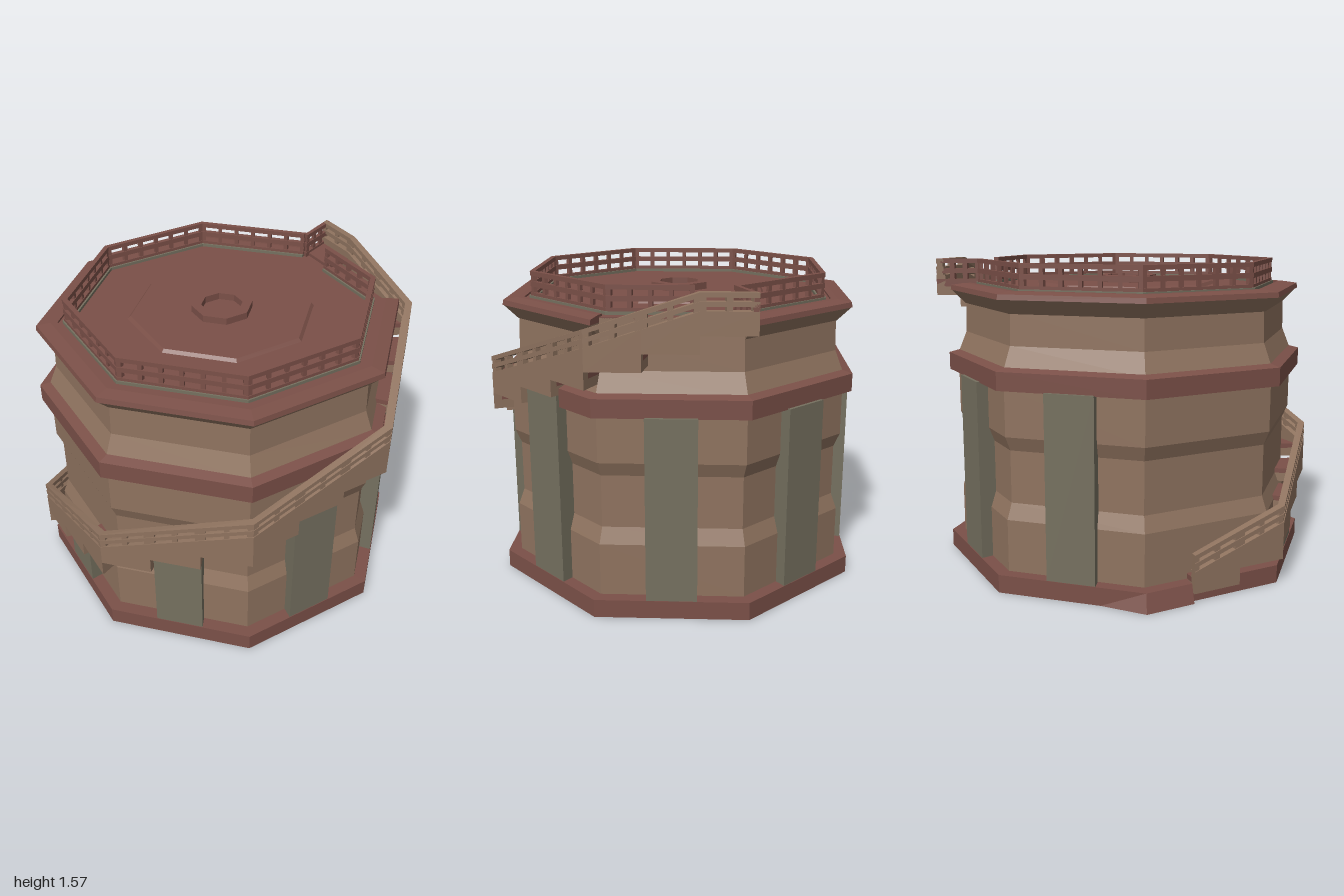
import * as THREE from 'three';
import { mergeGeometries } from 'three/addons/utils/BufferGeometryUtils.js';

const mat = (color) => new THREE.MeshStandardMaterial({ color, flatShading: true, side: THREE.DoubleSide });
const RED = mat(0x7b5048), TAN = mat(0x8f735f), GREY = mat(0x75705f);
const SIDES = 8, STEPS = 18, STEP_RISE = 1 / 12;

// Point on an octagon of corner radius r; s counts faces, starting at -x and running past the front
function ringPoint(r, y, s) {
  const i = Math.floor(s), f = s - i;
  const corner = (k) => {
    const a = (k - 2) * Math.PI * 2 / SIDES;
    return new THREE.Vector3(Math.sin(a) * r, y, Math.cos(a) * r);
  };
  // whole numbers sit exactly on a corner
  return f < 1e-6 ? corner(i) : corner(i).lerp(corner(i + 1), f);
}

// Solid lofted along one octagon face between two (radius, height) outlines
function loft(outlineA, s0, outlineB, s1) {
  const A = outlineA.map(([r, y]) => ringPoint(r, y, s0));
  const B = outlineB.map(([r, y]) => ringPoint(r, y, s1));
  const pts = [], n = A.length;
  for (let i = 0; i < n; i++) {
    const j = (i + 1) % n;
    pts.push(A[i], B[i], B[j], A[i], B[j], A[j]);
    if (i > 0 && i < n - 1) pts.push(A[0], A[i], A[j], B[0], B[j], B[i]);
  }
  const g = new THREE.BufferGeometry().setFromPoints(pts);
  g.computeVertexNormals();
  return g;
}

const rect = (r0, r1, y0, y1) => [[r0, y0], [r1, y0], [r1, y1], [r0, y1]];
const block = (r0, r1, s0, s1, y0, y1) => loft(rect(r0, r1, y0, y1), s0, rect(r0, r1, y0, y1), s1);

// Beam whose bottom and top follow functions of s
const beam = (r0, r1, s0, s1, lo, hi) =>
  loft(rect(r0, r1, lo(s0), hi(s0)), s0, rect(r0, r1, lo(s1), hi(s1)), s1);

// Open railing: horizontal bars and posts hung below a top line
function railing(r0, r1, s0, s1, top, bars, height, bays) {
  const out = bars.map(([lo, hi]) => beam(r0, r1, s0, s1, (s) => top(s) - lo, (s) => top(s) - hi));
  const w = 0.035, inset = 0.004;
  for (let i = 0; i <= bays; i++) {
    const a = s0 + (s1 - s0 - w) * i / bays;
    out.push(beam(r0 + inset, r1 - inset, a, a + w, (s) => top(s) - height, (s) => top(s) - 0.005));
  }
  return out;
}

export function createModel() {
  const model = new THREE.Group();
  const add = (name, geometry, material) => {
    const mesh = new THREE.Mesh(geometry, material);
    mesh.name = name;
    model.add(mesh);
  };
  const lathe = (name, profile, material) =>
    add(name, new THREE.LatheGeometry(profile.map(([r, y]) => new THREE.Vector2(r, y)), SIDES), material);
  const addAll = (name, list, material) => add(name, mergeGeometries(list), material);

  // Octagonal body
  lathe('base', [[0, 0], [0.968, 0], [0.968, 0.09], [0.88, 0.09]], RED);
  lathe('lowerWall', [[0.9, 0.09], [0.9, 0.35], [0.87, 0.43], [0.87, 0.69], [0.9, 0.76], [0.9, 1]], TAN);
  lathe('middleBand', [[0.87, 0.99], [0.948, 0.99], [0.948, 1.08], [0.89, 1.095]], RED);
  lathe('upperWall', [[0.9, 1.08], [0.855, 1.19], [0.85, 1.35], [0.85, 1.43]], TAN);

  // Roof with raised middle and a small ring
  lathe('roof', [[0.85, 1.425], [0.85, 1.435], [0.475, 1.435], [0.46, 1.45], [0, 1.45]], RED);
  lathe('roofRing', [[0.155, 1.44], [0.155, 1.485], [0.105, 1.485], [0.105, 1.45]], RED);

  // Cornice, left open on the face where the stair arrives
  const slope = [], cornice = [];
  for (let f = 0; f < SIDES; f++) {
    if (f === 5) continue;
    const under = [[0.82, 1.34], [0.855, 1.34], [0.925, 1.41], [0.82, 1.41]];
    const edge = [[0.82, 1.41], [0.93, 1.41], [0.925, 1.435], [0.855, 1.445], [0.82, 1.445]];
    slope.push(loft(under, f, under, f + 1));
    cornice.push(loft(edge, f, edge, f + 1));
  }
  addAll('corniceUnderside', slope, TAN);
  addAll('cornice', cornice, RED);

  // Buttress panels: under the stair where it passes, otherwise up to the band
  const underside = (k) => Math.max(0, -0.035 + STEP_RISE * k);
  const panels = [];
  for (let f = 0; f < SIDES; f++) {
    const top = f < 5 ? underside(f * 3 + 1) : 0.995;
    if (top > 0.1) panels.push(block(0.82, 0.965, f + 0.335, f + 0.665, 0.09, top));
  }
  addAll('buttressPanels', panels, GREY);

  // Stair winding over six faces: treads, side skirt and railing
  const railTop = (s) => Math.min(1.57, 0.155 + 0.25 * s);
  const treads = [], skirts = [], rails = [];
  const stairBars = [[0.022, 0], [0.062, 0.04]];
  for (let k = 0; k < STEPS; k++) {
    const s0 = k / 3, s1 = (k + 1) / 3, y = underside(k);
    if (k === 0) {
      const foot = [[0.8, 0], [1, 0], [0.968, 0.09], [0.8, 0.09]];
      treads.push(loft(foot, s0, foot, s1));
      treads.push(loft(rect(0.8, 0.968, 0, 0.09), -0.3, foot, 0));
      continue;
    }
    treads.push(block(0.8, 0.96, s0, s1, y + 0.045, y + 0.07));
    skirts.push(block(0.8, 0.96, s0, s1, y, y + 0.045));
    skirts.push(beam(0.955, 1, s0, s1, () => y, (s) => railTop(s) - 0.082));
    rails.push(...railing(0.962, 1, s0, s1, railTop, stairBars, 0.09, 2));
  }
  addAll('stairTreads', treads, RED);
  addAll('stairSkirt', skirts, TAN);
  addAll('stairRailing', rails, TAN);

  // Roof railing on a grey curb, open at the stair landing
  const roofBars = [[0.022, 0], [0.075, 0.05], [0.13, 0.105]];
  const level = () => 1.57;
  const roofRails = [], curb = [];
  for (let f = 0; f < SIDES; f++) {
    const end = f === 5 ? f + 2 / 3 : f + 1;
    roofRails.push(...railing(0.76, 0.787, f, end, level, roofBars, 0.13, f === 5 ? 4 : 6));
    curb.push(block(0.75, 0.795, f, end, 1.43, 1.45));
  }
  // Short railing across the end of the landing
  for (const [lo, hi] of roofBars) roofRails.push(block(0.77, 1, 5.965, 6, 1.57 - lo, 1.57 - hi));
  for (let i = 0; i < 4; i++) {
    const r = 0.775 + i * 0.066;
    roofRails.push(block(r, r + 0.024, 5.968, 5.998, 1.43, 1.565));
  }
  addAll('roofRailing', roofRails, RED);
  addAll('railingCurb', curb, GREY);

  return model;
}
